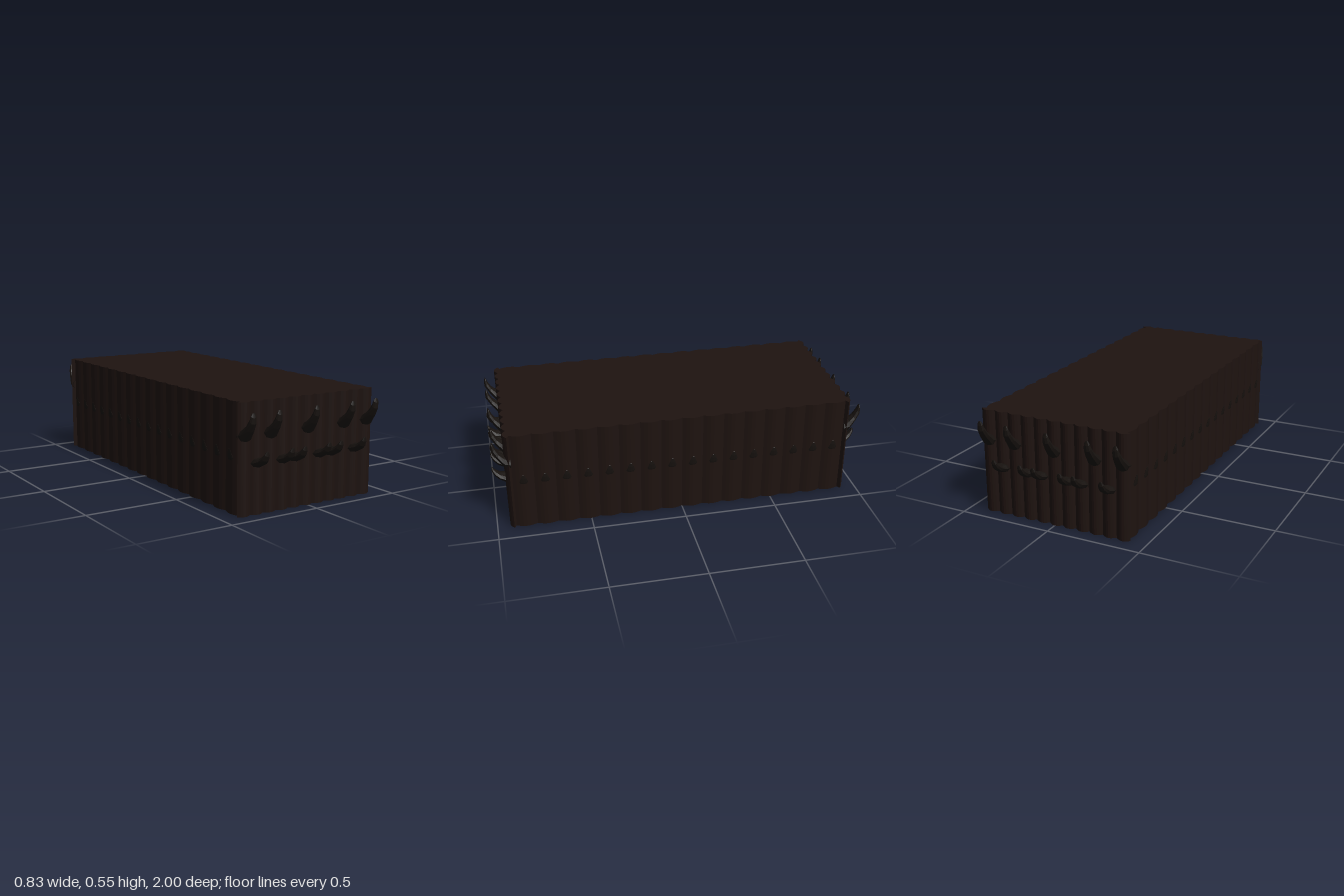
import * as THREE from 'three';

const HEIGHT = 0.55;
const FRONT_LOGS = 11, FRONT_STEP = 0.075;
const SIDE_LOGS = 16, SIDE_STEP = 0.1125;

// Horn profiles, root to tip: [lower out, lower y, upper out, upper y, half width]
const TALL_HORN = [
  [-0.03, 0.355, -0.03, 0.42, 0.037],
  [0.0, 0.36, 0.0, 0.43, 0.037],
  [0.04, 0.415, 0.025, 0.45, 0.027],
  [0.063, 0.455, 0.043, 0.48, 0.02],
  [0.065, 0.485, 0.052, 0.502, 0.015],
  [0.06, 0.508, 0.056, 0.509, 0.006],
];
const SHORT_HORN = [
  [-0.03, 0.22, -0.03, 0.275, 0.037],
  [0.0, 0.23, 0.0, 0.28, 0.037],
  [0.035, 0.248, 0.025, 0.283, 0.03],
  [0.058, 0.27, 0.045, 0.298, 0.022],
  [0.07, 0.296, 0.058, 0.31, 0.015],
  [0.07, 0.318, 0.064, 0.32, 0.006],
];

// Loft of eight-sided rings along a horn profile, pointing to +z
function hornGeometry(profile, outScale = 1, widthScale = 1) {
  const sides = 8, pos = [], idx = [];
  for (const [lo, ly, uo, uy, w] of profile) {
    for (let i = 0; i < sides; i++) {
      const a = (i / sides) * Math.PI * 2, s = (1 + Math.sin(a)) / 2;
      pos.push(Math.cos(a) * w * widthScale, ly + (uy - ly) * s, (lo + (uo - lo) * s) * outScale);
    }
  }
  for (let r = 0; r < profile.length - 1; r++) {
    for (let i = 0; i < sides; i++) {
      const a = r * sides + i, b = r * sides + (i + 1) % sides;
      idx.push(a, b, b + sides, a, b + sides, a + sides);
    }
  }
  // Tip cap
  const last = (profile.length - 1) * sides;
  for (let i = 1; i < sides - 1; i++) idx.push(last, last + i, last + i + 1);
  const g = new THREE.BufferGeometry();
  g.setAttribute('position', new THREE.Float32BufferAttribute(pos, 3));
  g.setIndex(idx);
  g.computeVertexNormals();
  return g;
}

// Scalloped edge: a row of bulging logs, as [along, out] pairs
function scallops(count, step, base, bulge) {
  const segs = 6, pts = [];
  for (let i = 0; i < count; i++) {
    for (let k = 0; k < segs + (i === count - 1 ? 1 : 0); k++) {
      pts.push([(i - count / 2 + k / segs) * step, base + bulge * Math.sin((k / segs) * Math.PI)]);
    }
  }
  return pts;
}

export function createModel() {
  const model = new THREE.Group();
  model.name = 'logBlock';
  const wood = new THREE.MeshStandardMaterial({ color: 0x1e1310, flatShading: true });
  const hornMat = new THREE.MeshStandardMaterial({ color: 0x17120f, flatShading: true, side: THREE.DoubleSide });

  // Body: palisade outline raised to full height
  const front = scallops(FRONT_LOGS, FRONT_STEP, 0.912, 0.02);
  const side = scallops(SIDE_LOGS, SIDE_STEP, 0.393, 0.015);
  const outline = [
    ...front.map(([a, o]) => new THREE.Vector2(a, o)),
    ...side.map(([a, o]) => new THREE.Vector2(o, -a)),
    ...front.map(([a, o]) => new THREE.Vector2(-a, -o)),
    ...side.map(([a, o]) => new THREE.Vector2(-o, a)),
  ];
  const bodyGeo = new THREE.ExtrudeGeometry(new THREE.Shape(outline), { depth: HEIGHT, bevelEnabled: false });
  bodyGeo.rotateX(-Math.PI / 2);
  const body = new THREE.Mesh(bodyGeo, wood);
  body.name = 'logWalls';
  model.add(body);

  const tall = hornGeometry(TALL_HORN), short = hornGeometry(SHORT_HORN);
  const stub = hornGeometry(SHORT_HORN, 0.29, 0.9);
  const tallSlots = [-5, -3, 0, 3, 5];

  // Each half turn gives one end and one long side
  for (const [turn, endName, sideName] of [[0, 'front', 'left'], [Math.PI, 'back', 'right']]) {
    const half = new THREE.Group();
    half.name = endName + 'Half';
    half.rotation.y = turn;

    // End horns, tall and short
    for (let i = -5; i <= 5; i++) {
      const isTall = tallSlots.includes(i);
      const horn = new THREE.Mesh(isTall ? tall : short, hornMat);
      horn.name = endName + (isTall ? 'TallHorn' : 'ShortHorn');
      horn.position.set(i * FRONT_STEP, 0, 0.93);
      half.add(horn);
    }

    // Small stubs along the long side
    for (let i = 0; i < SIDE_LOGS; i++) {
      const s = new THREE.Mesh(stub, hornMat);
      s.name = sideName + 'Stub';
      s.rotation.y = Math.PI / 2;
      s.position.set(0.393, 0, (i - (SIDE_LOGS - 1) / 2) * SIDE_STEP);
      half.add(s);
    }
    model.add(half);
  }
  return model;
}
